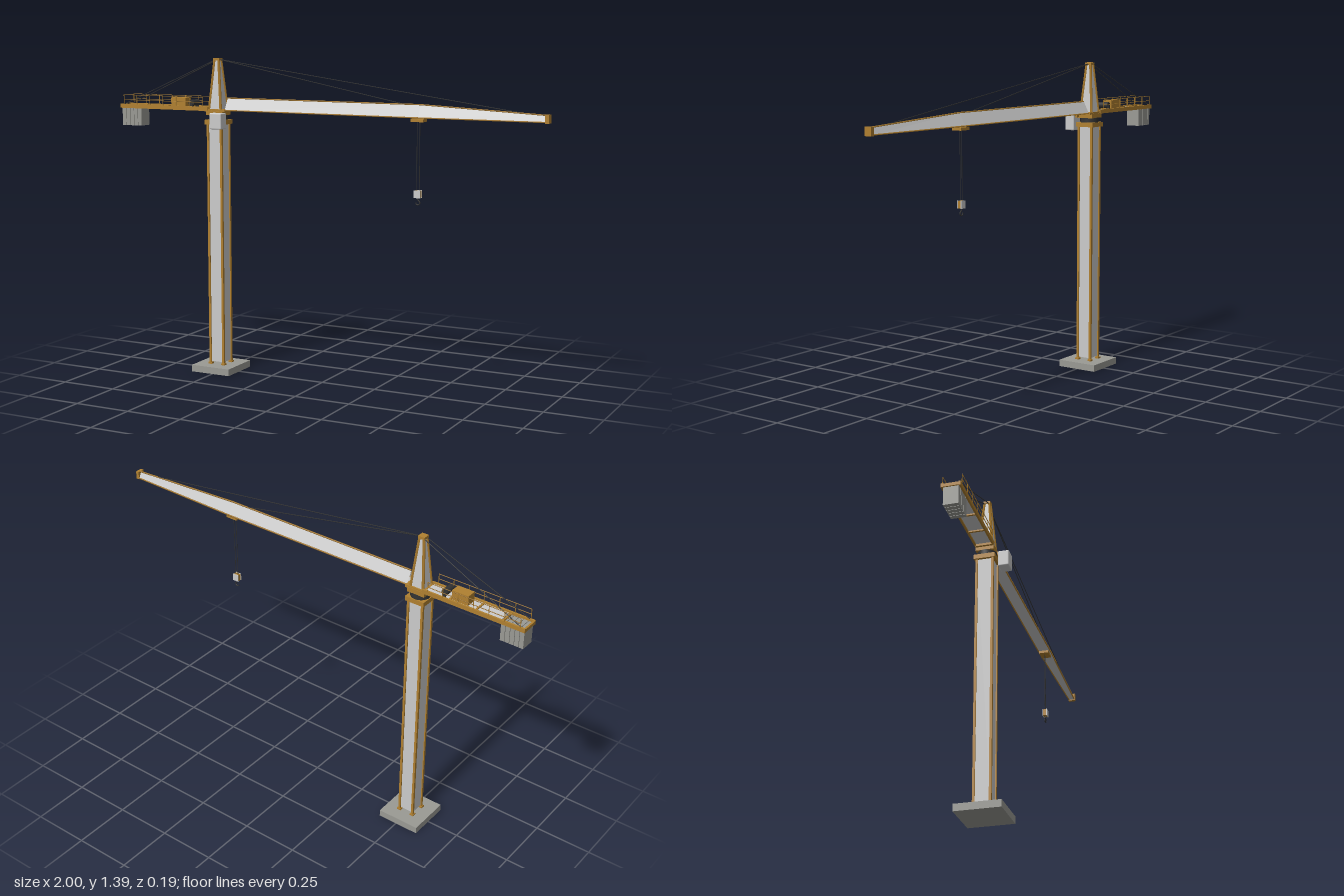
import * as THREE from 'three';
import { RoundedBoxGeometry } from 'three/addons/geometries/RoundedBoxGeometry.js';

const mat = (color) => new THREE.MeshStandardMaterial({ color });
const V = (x, y, z) => new THREE.Vector3(x, y, z);

export function createModel() {
  const crane = new THREE.Group();
  crane.name = 'towerCrane';
  const grey = mat(0xcccccc), ochre = mat(0xb08030), dark = mat(0x333333);
  const concrete = mat(0x9a9a94);
  const panel = mat(0xcccccc);
  panel.side = THREE.DoubleSide;
  panel.flatShading = true;
  const TX = -0.51; // mast axis

  const add = (name, geo, material, x = 0, y = 0, z = 0, parent = crane) => {
    const m = new THREE.Mesh(geo, material);
    m.name = name;
    m.position.set(x, y, z);
    parent.add(m);
    return m;
  };
  // box given by its limits
  const box = (name, material, x0, x1, y0, y1, z0, z1) =>
    add(name, new THREE.BoxGeometry(x1 - x0, y1 - y0, z1 - z0), material,
      (x0 + x1) / 2, (y0 + y1) / 2, (z0 + z1) / 2);
  // straight member between two points
  const bar = (name, material, a, b, r, sides = 4) => {
    const m = add(name, new THREE.CylinderGeometry(r, r, a.distanceTo(b), sides, 1), material);
    if (sides === 4) m.geometry.rotateY(Math.PI / 4);
    m.position.copy(a).add(b).multiplyScalar(0.5);
    m.quaternion.setFromUnitVectors(V(0, 1, 0), b.clone().sub(a).normalize());
    return m;
  };
  // skin through equal rings of points, open at both ends
  const loft = (name, material, rings) => {
    const n = rings[0].length, idx = [];
    for (let i = 0; i < rings.length - 1; i++)
      for (let j = 0; j < n; j++) {
        const a = i * n + j, b = i * n + (j + 1) % n;
        idx.push(a, b, a + n, b, b + n, a + n);
      }
    let geo = new THREE.BufferGeometry().setFromPoints(rings.flat());
    geo.setIndex(idx);
    geo = geo.toNonIndexed();
    geo.computeVertexNormals();
    return add(name, geo, material);
  };
  const corners = [[1, 1], [1, -1], [-1, -1], [-1, 1]];
  const square = (y, h) => corners.map(([sx, sz]) => V(TX + sx * h, y, sz * h));

  // foundation and mast
  box('foundation', concrete, TX - 0.095, TX + 0.095, 0, 0.03, -0.095, 0.095);
  loft('mastPanels', panel, [square(0.042, 0.033), square(1.11, 0.033)]);
  for (const [sx, sz] of corners) {
    const x = TX + sx * 0.033, z = sz * 0.033;
    box('mastPost', ochre, x - 0.005, x + 0.005, 0.03, 1.11, z - 0.005, z + 0.005);
    box('mastFoot', ochre, x - 0.009, x + 0.009, 0.03, 0.037, z - 0.009, z + 0.009);
  }

  // slewing ring between collar and turntable frame
  box('mastCollar', ochre, TX - 0.044, TX + 0.044, 1.105, 1.125, -0.044, 0.044);
  add('slewingRing', new THREE.CylinderGeometry(0.041, 0.041, 0.022, 32), dark, TX, 1.135, 0);
  box('turntable', ochre, TX - 0.04, TX + 0.04, 1.145, 1.165, -0.038, 0.038);
  box('jibSeat', ochre, TX - 0.05, TX + 0.052, 1.16, 1.172, -0.036, 0.036);

  // tapered tower head
  const headLow = square(1.17, 0.029), headTop = square(1.385, 0.01);
  loft('headPanels', panel, [headLow, headTop]);
  headLow.forEach((p, i) => bar('headPost', ochre, p, headTop[i], 0.006));
  box('headCap', ochre, TX - 0.015, TX + 0.015, 1.382, 1.393, -0.015, 0.015);

  // main jib, triangular with a tapering tip: x, ridge height, half width
  const sections = [[-0.462, 1.22, 0.027], [0.45, 1.22, 0.027], [0.985, 1.195, 0.013]];
  const rings = sections.map(([x, top, w]) => [V(x, 1.168, w), V(x, 1.168, -w), V(x, top, 0)]);
  loft('jibPanels', panel, rings);
  for (let i = 0; i < 2; i++)
    for (let j = 0; j < 3; j++)
      bar('jibChord', ochre, rings[i][j], rings[i + 1][j], 0.0035);
  for (const s of [-1, 1])
    bar('jibRootChord', ochre, V(-0.5, 1.168, s * 0.027), V(-0.462, 1.168, s * 0.027), 0.0035);
  box('jibTip', ochre, 0.983, 0.998, 1.163, 1.198, -0.016, 0.016);

  // counter jib with deck and railings
  for (const s of [-1, 1]) {
    const z = s * 0.036;
    box('counterJibBeam', ochre, -1, TX - 0.03, 1.163, 1.181, z - 0.004, z + 0.004);
    for (let i = 0; i < 7; i++) {
      const x = -0.98 + i * 0.069;
      bar('railPost', ochre, V(x, 1.18, s * 0.039), V(x, 1.222, s * 0.039), 0.0016);
    }
    for (const y of [1.2, 1.222])
      bar('handrail', ochre, V(-0.981, y, s * 0.039), V(-0.565, y, s * 0.039), 0.0016);
  }
  box('counterJibDeck', grey, -0.89, -0.55, 1.17, 1.174, -0.033, 0.033);
  for (const x of [-0.996, -0.9, -0.78, -0.66])
    box('crossBeam', ochre, x - 0.004, x + 0.004, 1.164, 1.178, -0.034, 0.034);

  // hanging counterweight slabs
  for (let i = 0; i < 5; i++) {
    const x = -0.995 + i * 0.0208;
    box('counterweight', concrete, x, x + 0.0185, 1.085, 1.172, -0.031, 0.031);
  }

  // hoist winch
  box('winchHousing', ochre, -0.74, -0.665, 1.174, 1.216, -0.022, 0.022);
  const drum = add('winchDrum', new THREE.CylinderGeometry(0.014, 0.014, 0.05, 20), dark, -0.634, 1.195, 0);
  drum.rotation.x = Math.PI / 2;
  for (const s of [-1, 1])
    box('drumBracket', dark, -0.642, -0.626, 1.174, 1.197, s * 0.026 - 0.002, s * 0.026 + 0.002);

  // operator cab on the left side of the turntable
  add('cab', new RoundedBoxGeometry(0.058, 0.07, 0.047, 2, 0.005), grey, -0.474, 1.124, 0.066);
  box('cabBracket', ochre, -0.495, -0.455, 1.148, 1.162, 0.03, 0.06);

  // stay cables from the tower head
  const peak = V(TX, 1.388, 0);
  bar('jibStay', dark, peak, V(0.37, 1.221, 0), 0.0018, 6);
  bar('jibStay', dark, peak, V(0.88, 1.201, 0), 0.0018, 6);
  for (const s of [-1, 1])
    bar('counterJibStay', dark, V(TX, 1.388, s * 0.008), V(-0.98, 1.18, s * 0.034), 0.0018, 6);

  // trolley, hoist ropes and hook block
  box('trolley', ochre, 0.415, 0.47, 1.15, 1.162, -0.022, 0.022);
  for (const s of [-1, 1]) {
    bar('hoistRope', dark, V(0.442 + s * 0.006, 1.152, 0), V(0.442 + s * 0.006, 0.862, 0), 0.0014, 6);
    box('hookBlockPlate', grey, 0.427, 0.456, 0.836, 0.868, s * 0.009 - 0.0015, s * 0.009 + 0.0015);
  }
  box('hookBlock', ochre, 0.429, 0.454, 0.837, 0.867, -0.008, 0.008);
  const hookPath = new THREE.CatmullRomCurve3([
    V(0.442, 0.838, 0), V(0.442, 0.828, 0), V(0.449, 0.821, 0), V(0.451, 0.814, 0),
    V(0.443, 0.807, 0), V(0.434, 0.811, 0), V(0.433, 0.818, 0)]);
  add('hook', new THREE.TubeGeometry(hookPath, 24, 0.0027, 8), dark);

  return crane;
}
